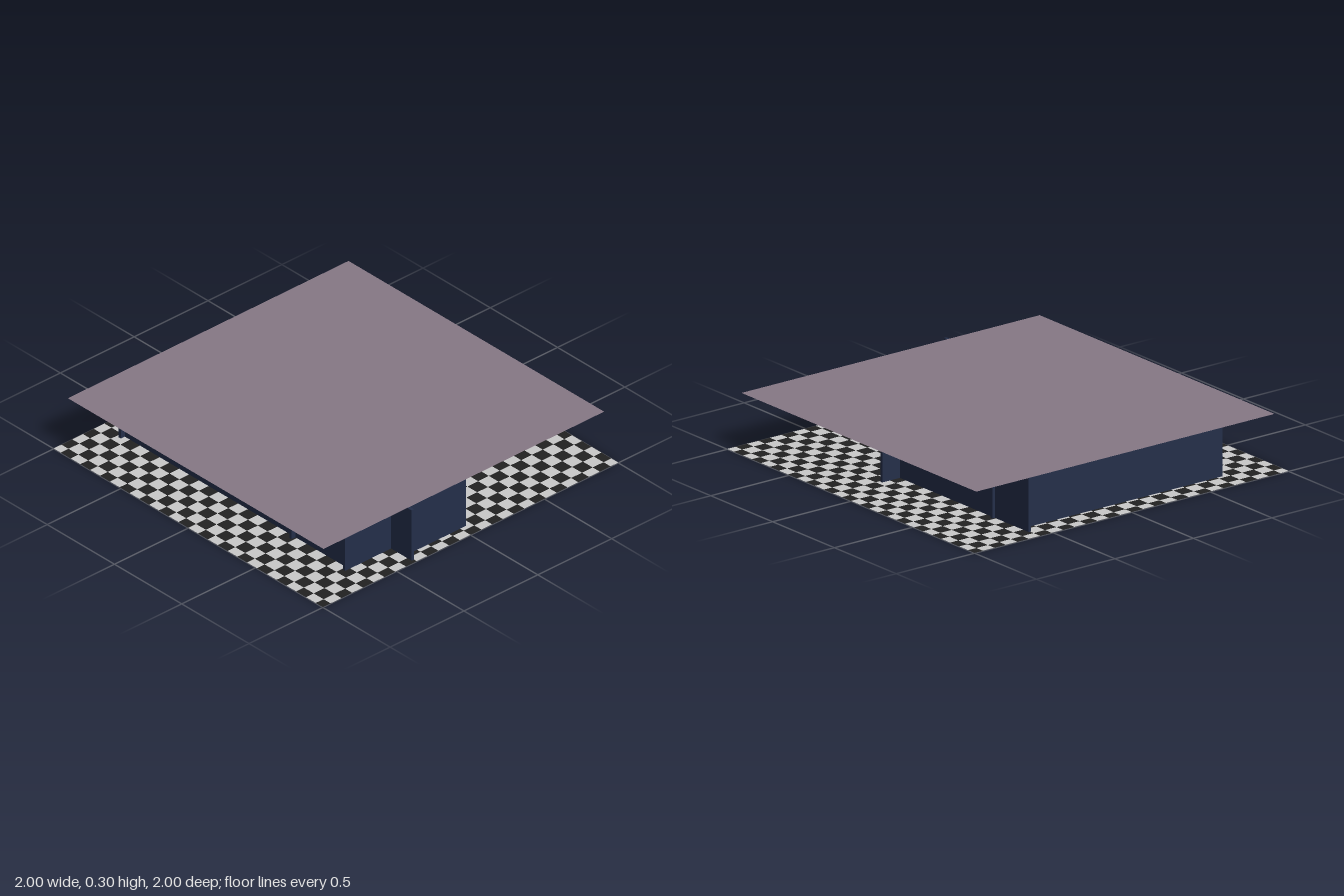
import * as THREE from 'three';
import { mergeGeometries } from 'three/addons/utils/BufferGeometryUtils.js';

export function createModel() {
  const model = new THREE.Group();
  const mat = (name, color, side = THREE.FrontSide) => {
    const m = new THREE.MeshStandardMaterial({ color, side });
    m.name = name;
    return m;
  };
  const lightTile = mat('lightTile', 0xcacaca, THREE.DoubleSide);
  const darkTile = mat('darkTile', 0x222222, THREE.DoubleSide);
  const roofMauve = mat('roofMauve', 0x877886, THREE.DoubleSide);
  const wallNavy = mat('wallNavy', 0x242f4a);

  const add = (name, geometry, material) => {
    const mesh = new THREE.Mesh(geometry, material);
    mesh.name = name;
    model.add(mesh);
  };
  const flat = (x0, x1, z0, z1, y) =>
    new THREE.PlaneGeometry(x1 - x0, z1 - z0)
      .rotateX(-Math.PI / 2)
      .translate((x0 + x1) / 2, y, (z0 + z1) / 2);

  // checkered floor, with cut tiles along the border
  const tile = 0.0729;
  const edge = (k) => Math.max(-1, Math.min(1, k * tile));
  const light = [], dark = [];
  for (let i = -14; i < 14; i++) {
    for (let j = -14; j < 14; j++) {
      const list = (i + j) % 2 === 0 ? dark : light;
      list.push(flat(edge(i), edge(i + 1), edge(j), edge(j + 1), 0.002));
    }
  }
  add('floorLightTiles', mergeGeometries(light), lightTile);
  add('floorDarkTiles', mergeGeometries(dark), darkTile);

  // flat roof sheet
  add('roof', flat(-0.95, 0.95, -0.95, 0.95, 0.302), roofMauve);

  // thin walls; each runs along one axis, at a fixed position on the other
  const height = 0.3, thick = 0.016;
  const wallX = (name, z, x0, x1) =>
    add(name, new THREE.BoxGeometry(x1 - x0, height, thick)
      .translate((x0 + x1) / 2, height / 2, z), wallNavy);
  const wallZ = (name, x, z0, z1) =>
    add(name, new THREE.BoxGeometry(thick, height, z1 - z0)
      .translate(x, height / 2, (z0 + z1) / 2), wallNavy);

  // outer walls, some running past their corners
  wallX('frontWall', 0.655, -0.85, 0.825);
  wallZ('rightWall', -0.85, -0.585, 0.69);
  wallX('backWall', -0.585, -0.92, 0.135);
  wallZ('backLeftWall', 0.13, -0.705, -0.03);
  wallX('middleWall', -0.033, 0.13, 0.92);
  wallZ('leftWall', 0.915, -0.04, 0.372);
  wallX('leftStepWall', 0.372, 0.42, 0.98);
  wallZ('frontLeftWall', 0.818, 0.372, 0.69);

  // room dividers
  wallZ('frontDivider', 0.418, -0.03, 0.69);
  wallX('backDivider', -0.412, -0.64, 0.16);
  wallZ('backRoomDivider', -0.64, -0.61, -0.405);

  return model;
}
